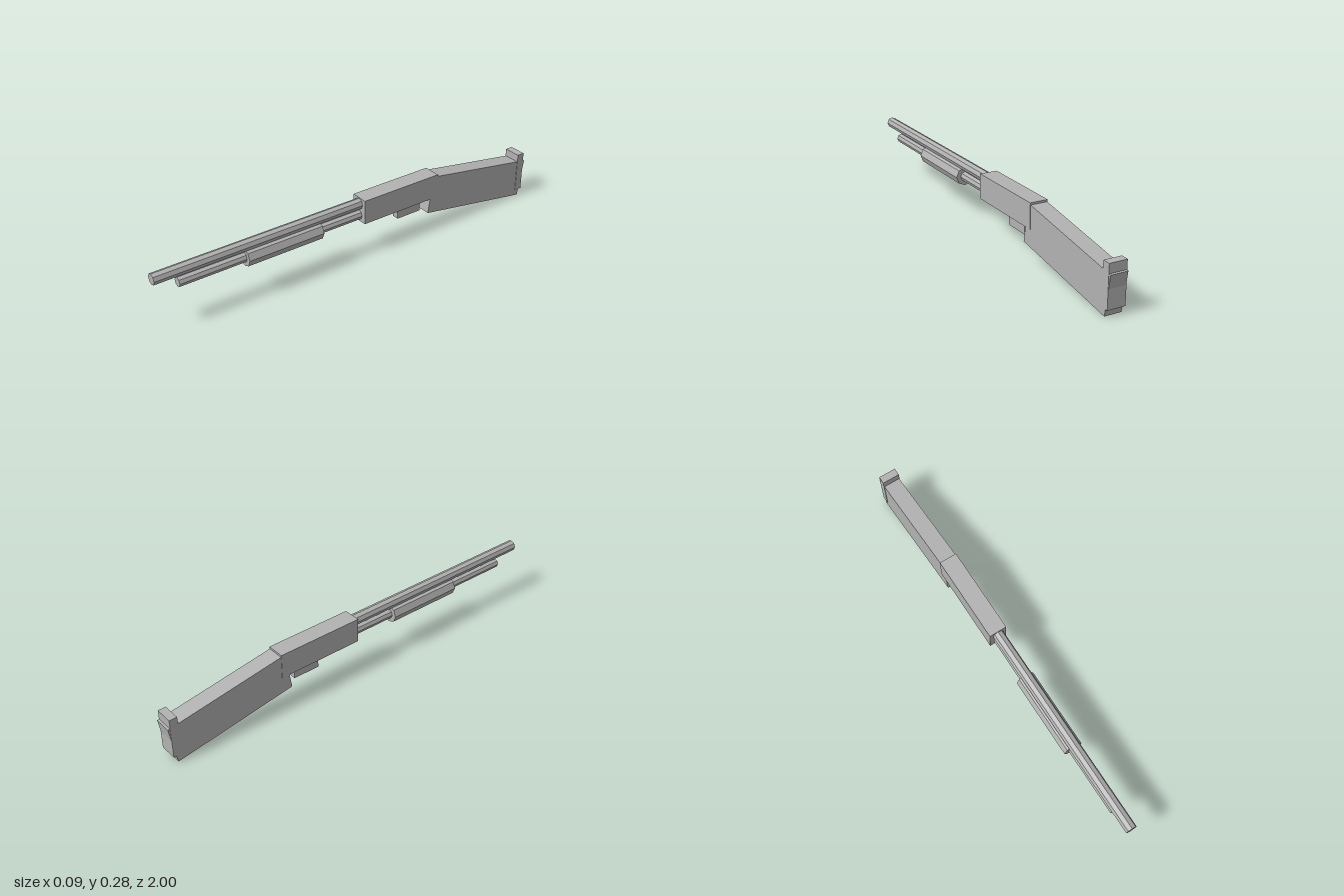
import * as THREE from 'three';

export function createModel() {
  const group = new THREE.Group();
  const grey = new THREE.MeshStandardMaterial({ color: 0xb2b2b2, flatShading: true });
  grey.name = 'plain grey';

  const add = (name, geometry, x, y, z) => {
    const mesh = new THREE.Mesh(geometry, grey);
    mesh.name = name;
    mesh.position.set(x, y, z);
    group.add(mesh);
    return mesh;
  };
  // Box given by its half width and its extents in y and z
  const block = (name, halfWidth, y0, y1, z0, z1) =>
    add(name, new THREE.BoxGeometry(halfWidth * 2, y1 - y0, z1 - z0), 0, (y0 + y1) / 2, (z0 + z1) / 2);
  // Octagonal rod running along z
  const rod = (name, radius, y, z0, z1) =>
    add(name, new THREE.CylinderGeometry(radius, radius, z1 - z0, 8).rotateX(Math.PI / 2), 0, y, (z0 + z1) / 2);

  // Barrel, magazine tube and sliding grip
  rod('barrel', 0.026, 0.256, -0.03, 1);
  rod('magazineTube', 0.0225, 0.2, -0.03, 0.89);
  rod('slideGrip', 0.0435, 0.2, 0.2, 0.576);

  // Receiver with the trigger block below
  block('receiver', 0.042, 0.168, 0.285, -0.437, -0.019);
  block('triggerBlock', 0.017, 0.112, 0.18, -0.356, -0.226);

  // Stock slopes down to the rear, with an upright butt plate
  const stock = add('stock', new THREE.BoxGeometry(0.08, 0.184, 0.588), 0, 0.141, -0.692);
  stock.rotation.x = -0.16;
  block('buttPlate', 0.042, 0.036, 0.229, -0.987, -0.95);

  return group;
}
